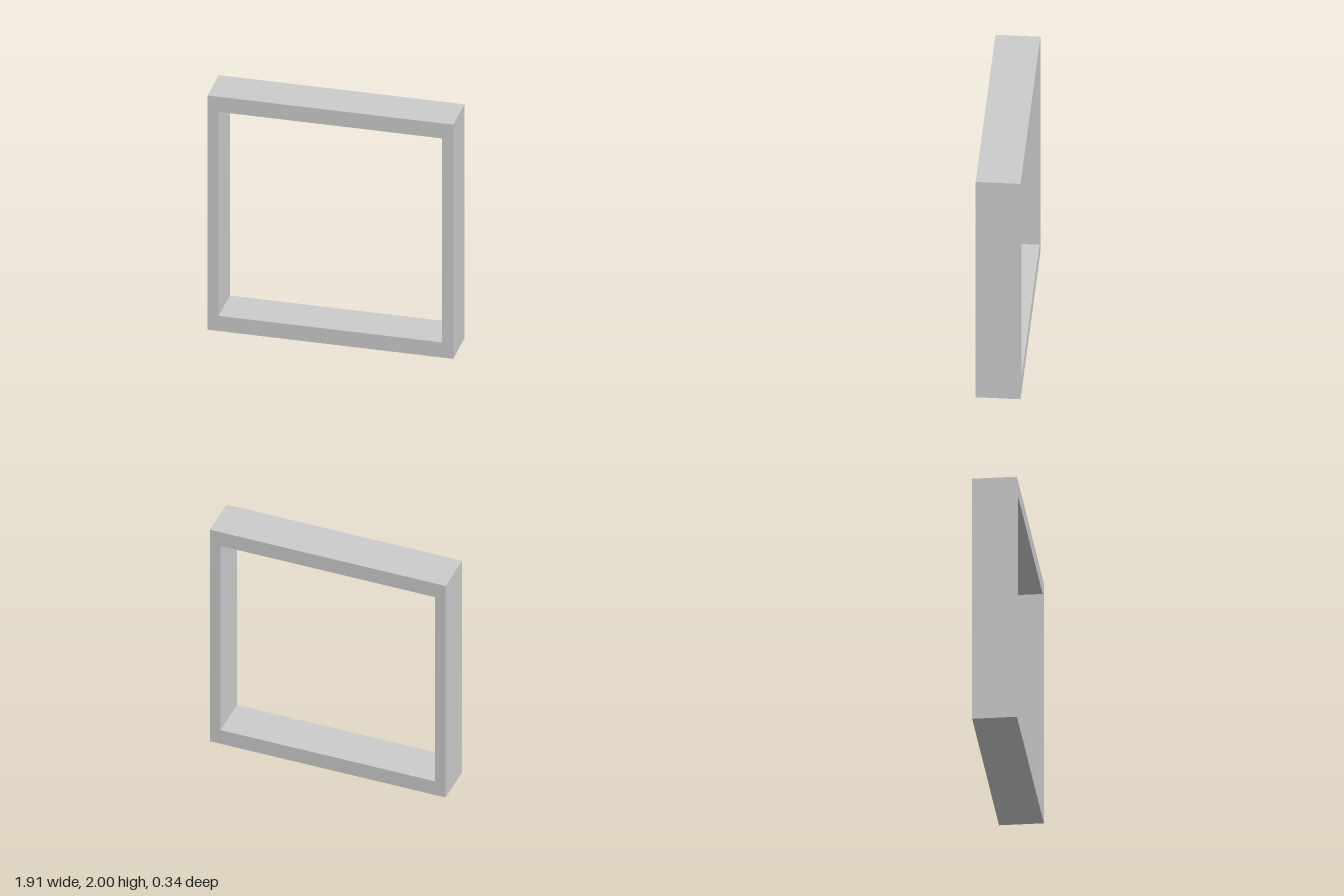
import * as THREE from 'three';

const WIDTH = 1.914, HEIGHT = 2, DEPTH = 0.34;
const OPENING_WIDTH = 1.742, OPENING_HEIGHT = 1.742;

// Traces a rectangle centred on x = 0 and half the frame's height
function traceRectangle(path, width, height) {
  const x = width / 2, y = height / 2, mid = HEIGHT / 2;
  path.moveTo(-x, mid - y);
  path.lineTo(x, mid - y);
  path.lineTo(x, mid + y);
  path.lineTo(-x, mid + y);
  path.closePath();
  return path;
}

export function createModel() {
  const group = new THREE.Group();
  group.name = 'openFrame';

  // One continuous frame: outer rectangle with the opening cut through
  const outline = traceRectangle(new THREE.Shape(), WIDTH, HEIGHT);
  outline.holes.push(traceRectangle(new THREE.Path(), OPENING_WIDTH, OPENING_HEIGHT));
  const geometry = new THREE.ExtrudeGeometry(outline, { depth: DEPTH, bevelEnabled: false });
  geometry.translate(0, 0, -DEPTH / 2);

  const frame = new THREE.Mesh(geometry, new THREE.MeshStandardMaterial({ color: 0xcccccc }));
  frame.name = 'frame';
  group.add(frame);
  return group;
}
